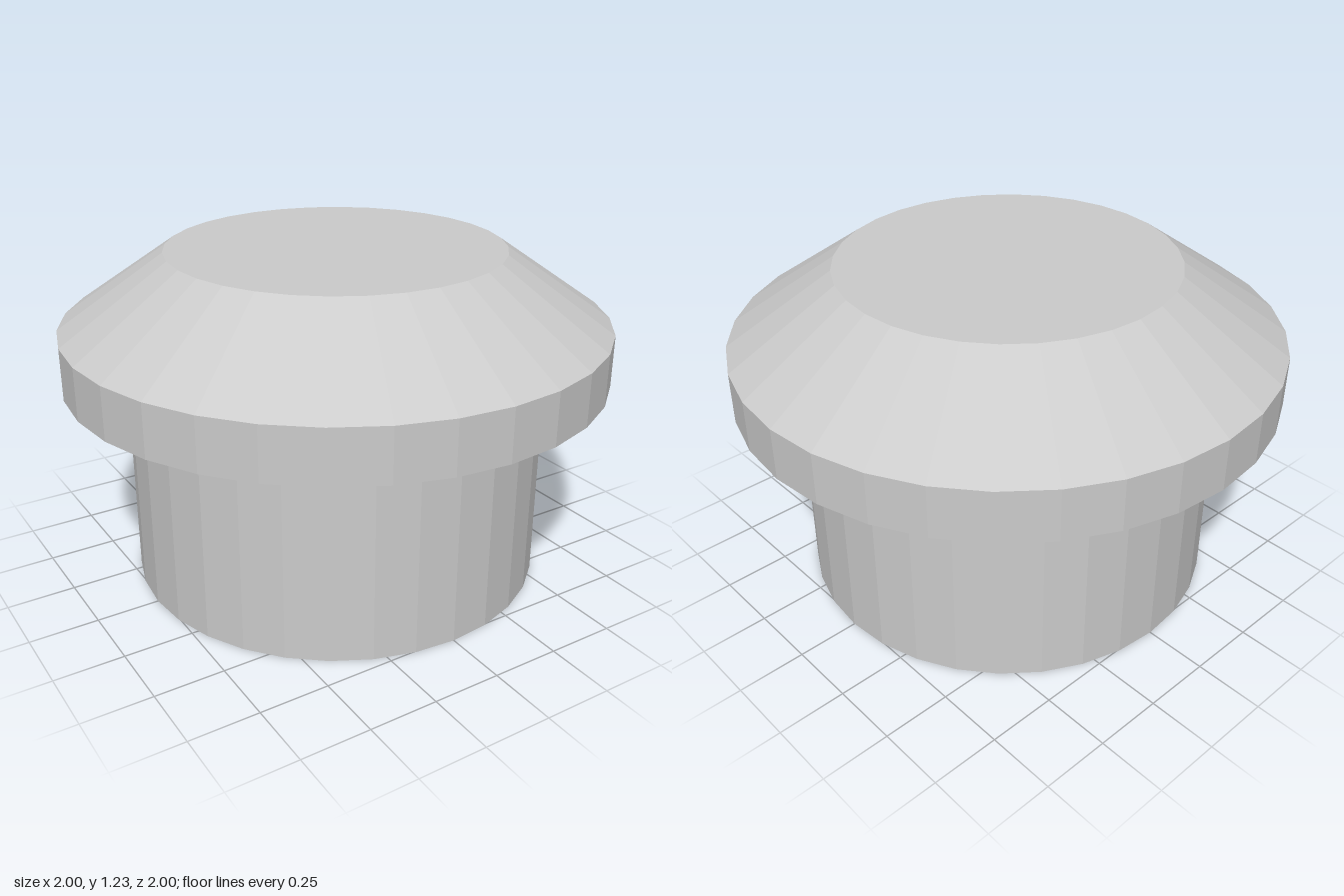
import * as THREE from 'three';

const SIDES = 32;

export function createModel() {
  const model = new THREE.Group();
  model.name = 'plug';
  const material = new THREE.MeshStandardMaterial({ color: 0xcccccc, flatShading: true });

  // Faceted solid of revolution from [radius, height] points, bottom to top
  const addTurned = (name, profile) => {
    const points = profile.map(([r, y]) => new THREE.Vector2(r, y));
    const mesh = new THREE.Mesh(new THREE.LatheGeometry(points, SIDES), material);
    mesh.name = name;
    model.add(mesh);
  };

  // Cylindrical stem, closed underneath and ending at the head
  addTurned('stem', [[0, 0], [0.77, 0], [0.77, 0.775]]);

  // Overhanging head: flat underside, straight rim, conical bevel and flat top
  addTurned('head', [[0.77, 0.775], [1, 0.775], [1, 0.965], [0.615, 1.23], [0, 1.23]]);

  return model;
}
